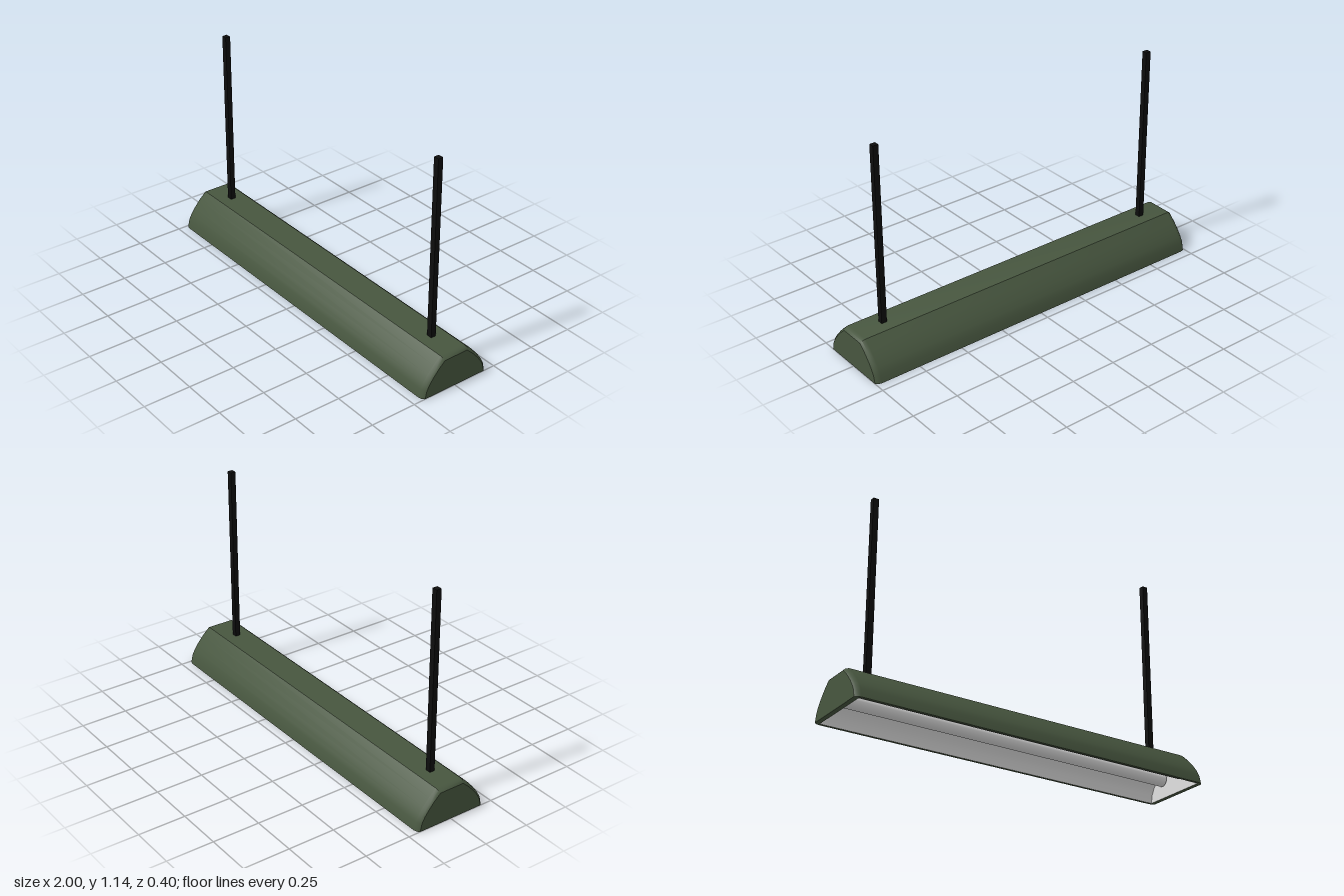
import * as THREE from 'three';
import { toCreasedNormals } from 'three/addons/utils/BufferGeometryUtils.js';

// Lofts a [z, y] profile along x through [x, scale] stations, with closed ends
function loft(profile, stations, inward = false) {
  const n = profile.length;
  const pos = [];
  const index = [];
  const tri = (a, b, c) => (inward ? index.push(a, c, b) : index.push(a, b, c));
  for (const [x, s] of stations) for (const [z, y] of profile) pos.push(x, y * s, z * s);
  for (let i = 0; i < stations.length - 1; i++) {
    for (let j = 0; j < n - 1; j++) {
      const a = i * n + j;
      tri(a, a + n, a + 1);
      tri(a + 1, a + n, a + n + 1);
    }
  }
  const last = (stations.length - 1) * n;
  for (let j = 1; j < n - 1; j++) {
    tri(0, j, j + 1);
    tri(last, last + j + 1, last + j);
  }
  const geometry = new THREE.BufferGeometry();
  geometry.setAttribute('position', new THREE.Float32BufferAttribute(pos, 3));
  geometry.setIndex(index);
  return toCreasedNormals(geometry, 0.7);
}

const mirrorProfile = (half) => [...half, ...half.map(([z, y]) => [-z, y]).reverse()];

export function createModel() {
  const green = new THREE.MeshStandardMaterial({ color: 0x47563f });
  green.name = 'dark green enamel';
  const black = new THREE.MeshStandardMaterial({ color: 0x0d0d0d });
  black.name = 'black metal';
  const white = new THREE.MeshStandardMaterial({ color: 0xe0e0e0 });
  white.name = 'white reflector';

  const model = new THREE.Group();
  model.name = 'hangingLamp';
  const add = (name, geometry, material, x = 0, y = 0, z = 0) => {
    const mesh = new THREE.Mesh(geometry, material);
    mesh.name = name;
    mesh.position.set(x, y, z);
    model.add(mesh);
    return mesh;
  };

  // Curved outer shade with softened ends
  const outer = mirrorProfile([[0.2, 0], [0.19, 0.045], [0.173, 0.077], [0.15, 0.108], [0.115, 0.148], [0.075, 0.185]]);
  const ends = [[0.972, 1], [0.99, 0.975], [1, 0.92]];
  add('shade', loft(outer, [...ends.map(([x, s]) => [-x, s]).reverse(), ...ends]), green);

  // White inside of the shade
  const inner = mirrorProfile([[0.185, 0], [0.176, 0.042], [0.16, 0.072], [0.138, 0.102], [0.105, 0.14], [0.066, 0.172]]);
  add('reflector', loft(inner, [[-0.975, 1], [0.975, 1]], true), white);

  // Flat rim around the opening
  const rim = new THREE.Shape([
    [-1, -0.184], [-0.99, -0.195], [-0.972, -0.2], [0.972, -0.2], [0.99, -0.195], [1, -0.184],
    [1, 0.184], [0.99, 0.195], [0.972, 0.2], [-0.972, 0.2], [-0.99, 0.195], [-1, 0.184],
  ].map(([x, z]) => new THREE.Vector2(x, z)));
  rim.holes.push(new THREE.Path([
    [-0.975, -0.185], [-0.975, 0.185], [0.975, 0.185], [0.975, -0.185],
  ].map(([x, z]) => new THREE.Vector2(x, z))));
  add('rim', new THREE.ShapeGeometry(rim).rotateX(Math.PI / 2), green);

  // Pair of fluorescent tubes
  const tube = new THREE.CylinderGeometry(0.034, 0.034, 1.92, 20).rotateZ(Math.PI / 2);
  for (const side of [-1, 1]) {
    add(side < 0 ? 'backTube' : 'frontTube', tube, white, 0, 0.09, side * 0.07);
  }

  // Square hanging rods
  const rod = new THREE.BoxGeometry(0.03, 0.965, 0.028);
  add('rightRod', rod, black, -0.84, 0.6625, 0);
  add('leftRod', rod, black, 0.823, 0.6625, 0);

  return model;
}
